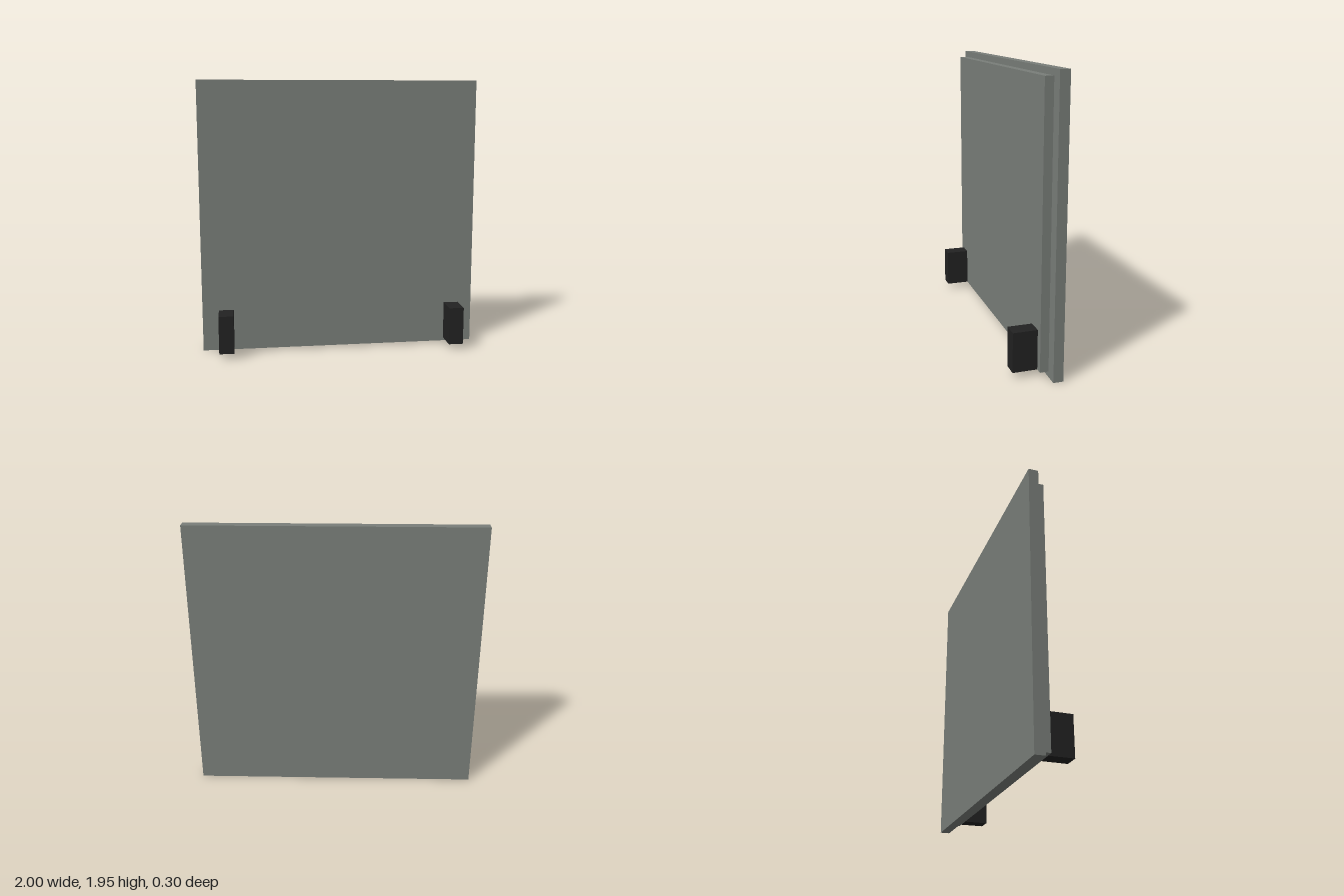
import * as THREE from 'three';

export function createModel() {
  const group = new THREE.Group();
  const panelGrey = new THREE.MeshStandardMaterial({ color: 0x797e79 });
  panelGrey.name = 'panel grey';
  const footBlack = new THREE.MeshStandardMaterial({ color: 0x222222 });
  footBlack.name = 'foot black';

  // Box given by its lower and upper limits on each axis
  function addBox(name, material, [x0, x1], [y0, y1], [z0, z1]) {
    const mesh = new THREE.Mesh(new THREE.BoxGeometry(x1 - x0, y1 - y0, z1 - z0), material);
    mesh.position.set((x0 + x1) / 2, (y0 + y1) / 2, (z0 + z1) / 2);
    mesh.name = name;
    group.add(mesh);
  }

  // Two slabs with a hairline gap between them
  addBox('backPanel', panelGrey, [-1, 1], [0, 1.945], [-0.148, -0.081]);
  addBox('frontPanel', panelGrey, [-0.928, 0.928], [0.045, 1.903], [-0.076, -0.018]);

  // Blocks projecting from the lower corners
  addBox('leftFoot', footBlack, [0.775, 0.88], [0.045, 0.316], [-0.018, 0.148]);
  addBox('rightFoot', footBlack, [-0.88, -0.775], [0.045, 0.316], [-0.018, 0.148]);

  return group;
}
